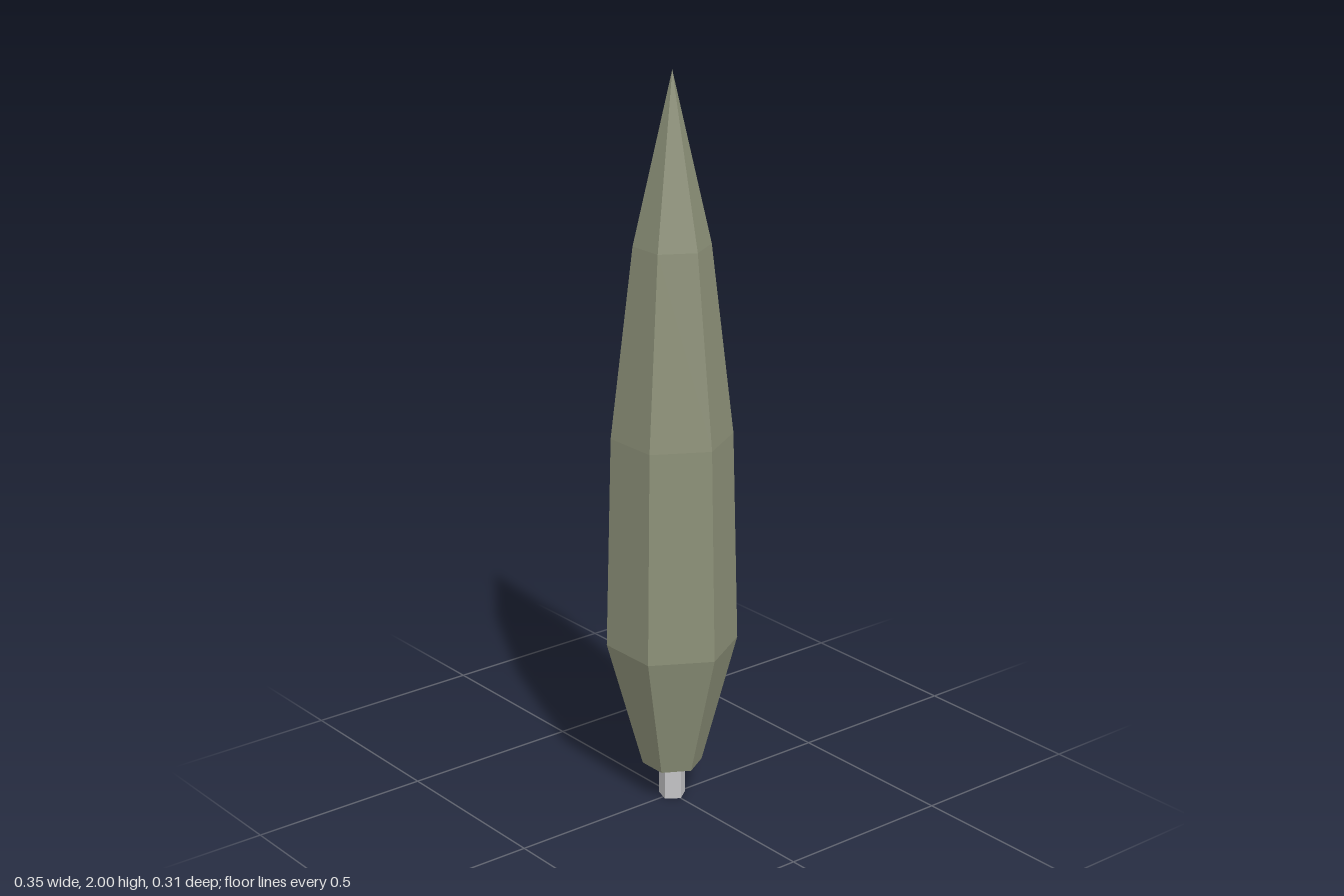
import * as THREE from 'three';

const foliageMaterial = new THREE.MeshStandardMaterial({ color: 0x8c9078 });
foliageMaterial.name = 'sage green';
const trunkMaterial = new THREE.MeshStandardMaterial({ color: 0xc4c4c6 });
trunkMaterial.name = 'pale grey';

// Faceted mesh: unshared vertices give every face its own flat normal
function facetedMesh(name, geometry, material) {
  const flat = geometry.toNonIndexed();
  flat.computeVertexNormals();
  const mesh = new THREE.Mesh(flat, material);
  mesh.name = name;
  return mesh;
}

export function createModel() {
  const tree = new THREE.Group();
  tree.name = 'tree';

  // Six-sided tapering crown, corners on the x axis, closed underneath
  const profile = [
    [0, 0.1], [0.081, 0.1], [0.177, 0.455], [0.162, 1.037], [0.102, 1.55], [0, 2],
  ].map(([r, y]) => new THREE.Vector2(r, y));
  tree.add(facetedMesh('crown', new THREE.LatheGeometry(profile, 6, Math.PI / 2), foliageMaterial));

  // Five-sided trunk with one corner towards +x
  const trunkGeometry = new THREE.CylinderGeometry(0.037, 0.037, 0.11, 5, 1, false, Math.PI / 2);
  trunkGeometry.translate(0, 0.055, 0);
  tree.add(facetedMesh('trunk', trunkGeometry, trunkMaterial));

  return tree;
}
